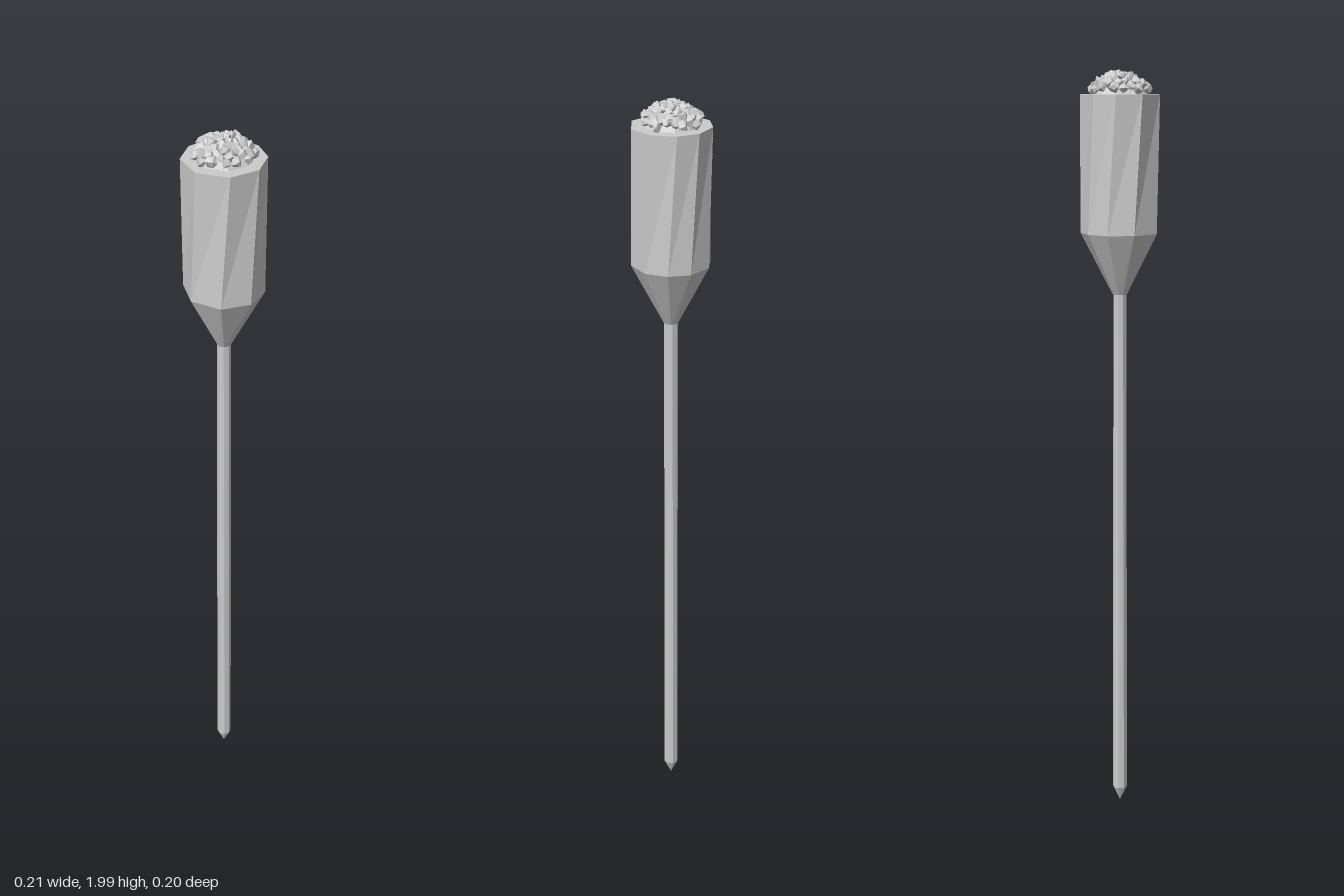
import * as THREE from 'three';
import { ConvexGeometry } from 'three/addons/geometries/ConvexGeometry.js';

const material = new THREE.MeshStandardMaterial({ color: 0xcccccc, flatShading: true });

function seededRandom(seed) {
  return () => (seed = (seed * 16807) % 2147483647) / 2147483647;
}

// Joins rings given bottom to top as { y, r, turn }; angles are in degrees, seen from above
function loft(rings, angles) {
  const n = angles.length;
  const positions = [];
  const index = [];
  for (const { y, r, turn = 0 } of rings) {
    for (const a of angles) {
      const t = THREE.MathUtils.degToRad(a + turn);
      positions.push(r * Math.cos(t), y, r * Math.sin(t));
    }
  }
  for (let k = 0; k < rings.length - 1; k++) {
    for (let i = 0; i < n; i++) {
      const a = k * n + i;
      const b = k * n + (i + 1) % n;
      index.push(a, a + n, b, b, a + n, b + n);
    }
  }
  const geometry = new THREE.BufferGeometry();
  geometry.setAttribute('position', new THREE.Float32BufferAttribute(positions, 3));
  geometry.setIndex(index);
  const flat = geometry.toNonIndexed();
  flat.computeVertexNormals();
  return flat;
}

function addPart(parent, name, geometry) {
  const mesh = new THREE.Mesh(geometry, material);
  mesh.name = name;
  parent.add(mesh);
  return mesh;
}

export function createModel() {
  const group = new THREE.Group();
  group.name = 'torch';
  const random = seededRandom(4217);

  // Pole with a sharpened foot
  const poleAngles = [0, 45, 90, 135, 180, 225, 270, 315];
  addPart(group, 'pole', loft([
    { y: 0, r: 0.001 },
    { y: 0.04, r: 0.02 },
    { y: 1.44, r: 0.018, turn: 6 },
  ], poleAngles));

  // Hand-cut cup: uneven sides, slightly twisted, with a flat closed top
  const cupAngles = [0, 41, 85, 133, 180, 219, 254, 292, 325];
  addPart(group, 'cup', loft([
    { y: 1.42, r: 0.001, turn: 8 },
    { y: 1.42, r: 0.019, turn: 8 },
    { y: 1.58, r: 0.102, turn: 12 },
    { y: 1.93, r: 0.103 },
    { y: 1.93, r: 0 },
  ], cupAngles));

  // Heap of coals spiralling out from the middle
  const coals = new THREE.Group();
  coals.name = 'coals';
  group.add(coals);
  const count = 58;
  for (let i = 0; i < count; i++) {
    const s = Math.sqrt((i + 0.5) / count);
    const angle = i * 2.39996;
    const size = 0.013 + 0.004 * random();
    const points = [];
    for (let k = 0; k < 10; k++) {
      const h = 1 - 2 * (k + 0.5) / 10;
      const w = Math.sqrt(1 - h * h);
      const t = k * 2.39996 + random();
      const r = size * (0.8 + 0.3 * random());
      points.push(new THREE.Vector3(r * w * Math.cos(t), r * h, r * w * Math.sin(t)));
    }
    const coal = addPart(coals, 'coal', new ConvexGeometry(points));
    coal.position.set(
      0.072 * s * Math.cos(angle),
      1.982 - 0.036 * s * s - 0.008 * random(),
      0.072 * s * Math.sin(angle),
    );
    coal.rotation.set(random() * 6, random() * 6, random() * 6);
  }

  // Ash mound that fills the gaps under the coals
  addPart(coals, 'ashMound', loft([
    { y: 1.929, r: 0.072 },
    { y: 1.945, r: 0.062 },
    { y: 1.968, r: 0.035 },
    { y: 1.975, r: 0 },
  ], cupAngles));

  return group;
}
